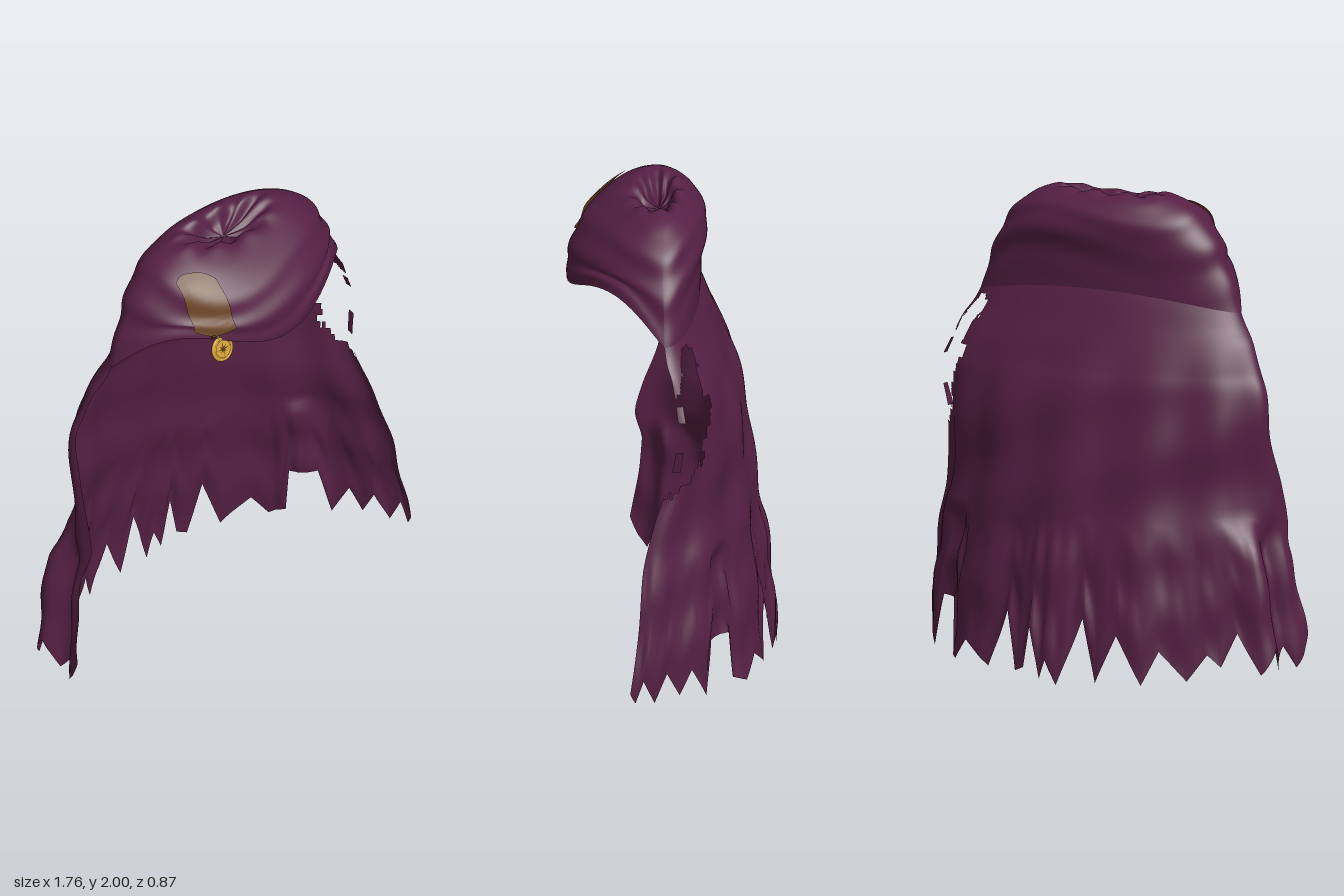
import * as THREE from 'three';

const RAD = Math.PI / 180;
const { clamp, lerp, smoothstep } = THREE.MathUtils;
const mat = (name, color, side = THREE.FrontSide) =>
  Object.assign(new THREE.MeshStandardMaterial({ color, side }), { name });

// Smooth value through evenly spaced keys, t from 0 to 1
function spline(keys, t) {
  const n = keys.length - 1, f = clamp(t, 0, 1) * n, i = Math.min(Math.floor(f), n - 1), k = f - i;
  const p = (j) => keys[clamp(j, 0, n)];
  const a = p(i - 1), b = p(i), c = p(i + 1), d = p(i + 2);
  return b + 0.5 * k * (c - a + k * (2 * a - 5 * b + 4 * c - d + k * (3 * (b - c) + d - a)));
}

// Straight-line value through [x, y] pairs
function broken(pairs, x) {
  for (let i = 1; i < pairs.length; i++) {
    const [x0, y0] = pairs[i - 1], [x1, y1] = pairs[i];
    if (x <= x1) return lerp(y0, y1, clamp((x - x0) / (x1 - x0), 0, 1));
  }
  return pairs[pairs.length - 1][1];
}
// The same, rounded off by averaging over a small span
const softened = (pairs, x) => [-3, -1.5, 0, 1.5, 3].reduce((sum, d) => sum + broken(pairs, x + d) / 5, 0);

// Sheet of nu by nv cells from a point rule; keep() can drop cells
function sheet(nu, nv, point, keep = () => true) {
  const pos = [], idx = [];
  for (let j = 0; j <= nv; j++) for (let i = 0; i <= nu; i++) pos.push(...point(i / nu, j / nv));
  for (let j = 0; j < nv; j++) for (let i = 0; i < nu; i++) {
    if (!keep((i + 0.5) / nu, (j + 0.5) / nv)) continue;
    const a = j * (nu + 1) + i, b = a + 1, c = a + nu + 1, d = c + 1;
    idx.push(a, c, b, b, c, d);
  }
  const g = new THREE.BufferGeometry();
  g.setAttribute('position', new THREE.Float32BufferAttribute(pos, 3));
  g.setIndex(idx);
  g.computeVertexNormals();
  return g;
}

// Cowl: rings from the sunken neck out to the hem
const COWL = {
  rx: [0, 0.1, 0.19, 0.27, 0.4, 0.49, 0.55, 0.605],
  front: [0, 0.06, 0.1, 0.15, 0.27, 0.345, 0.377, 0.38],
  back: [0, 0.04, 0.07, 0.12, 0.175, 0.195, 0.175, 0.167],
  yFront: [1.9, 1.91, 1.95, 1.95, 1.88, 1.79, 1.69, 1.61],
  ySide: [1.9, 1.92, 1.97, 1.985, 1.925, 1.82, 1.69, 1.53],
  yBack: [1.9, 1.93, 1.985, 1.975, 1.925, 1.85, 1.74, 1.6],
};
function cowlPoint(u, t) {
  const th = u * 2 * Math.PI, s = Math.sin(th), c = Math.cos(th);
  const get = (k) => spline(COWL[k], t);
  const loose = smoothstep(t, 0.3, 0.6) * (1 - smoothstep(t, 0.85, 1));
  const wrinkle = 1 + 0.014 * Math.sin(t * 34 + 2 * Math.sin(th * 3)) * loose;
  // The front narrows to a blunt point towards the hem
  const z = c > 0 ? get('front') * c ** (0.9 + 0.85 * smoothstep(t, 0.5, 1)) : get('back') * c;
  let y = get(c > 0 ? 'yFront' : 'yBack') * c * c + get('ySide') * s * s;
  if (c > 0) y += 0.13 * Math.sin(2 * th) ** 2 * smoothstep(t, 0.72, 1);
  // Gathers around the neck
  y += 0.012 * Math.sin(th * 9) * smoothstep(t, 0, 0.2) * (1 - smoothstep(t, 0.25, 0.5));
  return [get('rx') * s * wrinkle, y, 0.05 + z * wrinkle];
}

// Cape: half-round sections, starting on the back half of the cowl's hem
const CAPE = {
  y: [1.565, 1.48, 1.4, 1.3, 1.2, 1.0, 0.8, 0.6, 0.3, 0],
  w: [0.605, 0.642, 0.685, 0.725, 0.755, 0.77, 0.775, 0.81, 0.855, 0.885],
  zBack: [-0.117, -0.16, -0.2, -0.24, -0.275, -0.31, -0.335, -0.36, -0.39, -0.415],
  zEdge: [0.05, 0.04, 0.02, 0.005, 0, 0.03, 0.1, 0.145, 0.165, 0.2],
};
// Torn hem: angle around the back, height
const HEM = [
  [-90, 0.2], [-85, 0.12], [-80, 0.07], [-75, 0.16], [-69, 0.07], [-64, 0.18], [-58, 0.07], [-52, 0.24],
  [-47, 0.1], [-43, 0.15], [-37, 0.04], [-29, 0.16], [-24, 0.02], [-17, 0.22], [-11, 0.02], [-7, 0.28],
  [0, 0], [3, 0.1], [5, 0.02], [8, 0.23], [10, 0.06], [13, 0.04], [17, 0.28], [23, 0.04], [32, 0.13],
  [37, 0.04], [42, 0.07], [43, 0.27], [52, 0.27], [56, 0.05], [62, 0.18], [67, 0.08], [72, 0.18],
  [78, 0.07], [83, 0.17], [87, 0.08], [90, 0.12],
];
// Deep fold in the right edge: angle, outward shift
const FOLD = [[-90, 0], [-82, -0.01], [-72, -0.08], [-62, 0.11], [-52, 0.03], [-44, 0]];
function capePoint(u, t) {
  const a = u * 180 - 90, s = Math.sin(a * RAD), c = Math.max(Math.cos(a * RAD), 0);
  const get = (k) => spline(CAPE[k], t);
  const y0 = get('y'), low = smoothstep(0.74 - y0, 0, 0.24), top = smoothstep(y0, 1.4, 1.565);
  let y = y0 + 0.035 * Math.cos(2 * a * RAD) * top;
  if (y0 < 0.7) y = lerp(broken(HEM, a), 0.7, Math.max(y0, 0) / 0.7);
  // Pleats run up from the notches, with loose ripples above
  let push = softened(FOLD, a) * low - 0.18 * (softened(HEM, a) - 0.12) * smoothstep(0.66 - y0, 0, 0.14);
  push += 0.009 * Math.sin(a * 0.24 + y0 * 1.5) * smoothstep(1.5 - y0, 0, 0.5);
  push += 0.006 * Math.sin(y0 * 17 + a * 0.07) * smoothstep(1.5 - y0, 0, 0.3);
  const pinch = s > 0 ? 1 - 0.05 * s * Math.exp(-(((y0 - 0.95) / 0.15) ** 2)) : 1;
  const zE = get('zEdge') - (s < 0 ? 0.06 * s * s * low : 0), depth = zE - get('zBack');
  return [(get('w') * pinch + push) * s, y, zE - depth * c ** lerp(1.15, 1, top) - push * c];
}
// Ragged hole beside the left edge, with a torn strip left outside it
function capeKeep(u, t) {
  const a = u * 180 - 90, y = spline(CAPE.y, t);
  if (a < 45 || y < 0.92 || y > 1.53) return true;
  const n = Math.sin(Math.floor(a / 5) * 12.99 + Math.floor(y / 0.06) * 78.23) * 43758.5;
  const jag = (n - Math.floor(n) - 0.5) * 8;
  const inner = broken([[0.92, 88], [1.0, 71], [1.1, 62], [1.2, 58], [1.4, 55], [1.5, 53], [1.53, 60]], y);
  if (a < inner + jag) return true;
  const outer = broken([[1.31, 95], [1.36, 82], [1.43, 73], [1.53, 67]], y);
  if (a > outer + jag * 0.6) return true;
  return (Math.abs(y - 1.28) < 0.03 && a > 81) || (Math.abs(y - 1.08) < 0.04 && a > 82);
}

export function createModel() {
  const root = new THREE.Group();
  root.name = 'tatteredCloak';
  const cloth = mat('plumCloth', 0x562044, THREE.DoubleSide);
  const leather = mat('brownLeather', 0x6b4423, THREE.DoubleSide);
  const gold = mat('gold', 0xd0a036);
  const dark = mat('darkBronze', 0x4a3414);
  const add = (parent, name, geo, material) => {
    const m = new THREE.Mesh(geo, material);
    m.name = name;
    parent.add(m);
    return m;
  };

  const cowl = add(root, 'cowl', sheet(120, 56, cowlPoint), cloth);
  add(root, 'cape', sheet(180, 63, capePoint, capeKeep), cloth);

  // Leather strap laid over the front of the cowl
  cowl.updateMatrixWorld(true);
  const ray = new THREE.Raycaster(), inward = new THREE.Vector3(0, 0, -1);
  const strap = sheet(8, 14, (u, v) => {
    const e = Math.abs(2 * u - 1);
    const x = lerp(-0.373, -0.225, u);
    const y = lerp(1.937 - 0.025 * e ** 3, 1.705 + 0.025 * e ** 2, v);
    ray.set(new THREE.Vector3(x, y, 2), inward);
    const hit = ray.intersectObject(cowl)[0];
    return [x, y + 0.004, (hit ? hit.point.z : 0.34) + 0.012];
  });
  add(root, 'strap', strap, leather);

  // Round pendant with an eight-pointed star
  const pendant = new THREE.Group();
  pendant.name = 'pendant';
  pendant.position.set(-0.28, 1.642, 0.365);
  pendant.rotation.x = -0.3;
  root.add(pendant);
  add(pendant, 'pendantDisc', new THREE.CylinderGeometry(0.048, 0.048, 0.012, 32).rotateX(Math.PI / 2), gold);
  add(pendant, 'pendantRim', new THREE.TorusGeometry(0.047, 0.008, 8, 32), gold);
  for (const side of [1, -1]) {
    const groove = add(pendant, 'pendantGroove', new THREE.RingGeometry(0.0365, 0.0385, 32), dark);
    const star = new THREE.Shape();
    for (let i = 0; i < 16; i++) {
      const r = i % 2 ? 0.008 : i % 4 ? 0.023 : 0.035, a = i * Math.PI / 8;
      star[i ? 'lineTo' : 'moveTo'](r * Math.sin(a), r * Math.cos(a));
    }
    const plate = add(pendant, 'pendantStar', new THREE.ShapeGeometry(star), dark);
    for (const m of [groove, plate]) {
      m.position.z = 0.0075 * side;
      m.rotation.y = side > 0 ? 0 : Math.PI;
    }
  }
  // Short hanger between strap and pendant
  [0.058, 0.076].forEach((y, i) => {
    const link = add(pendant, 'hangerLink', new THREE.TorusGeometry(0.012, 0.004, 6, 16), gold);
    link.position.set(0, y, 0.004);
    link.rotation.y = i ? 0.9 : 0;
  });
  const bar = add(pendant, 'hangerBar', new THREE.CylinderGeometry(0.006, 0.006, 0.08, 8).rotateZ(Math.PI / 2), dark);
  bar.position.set(0, 0.068, 0.004);

  return root;
}
